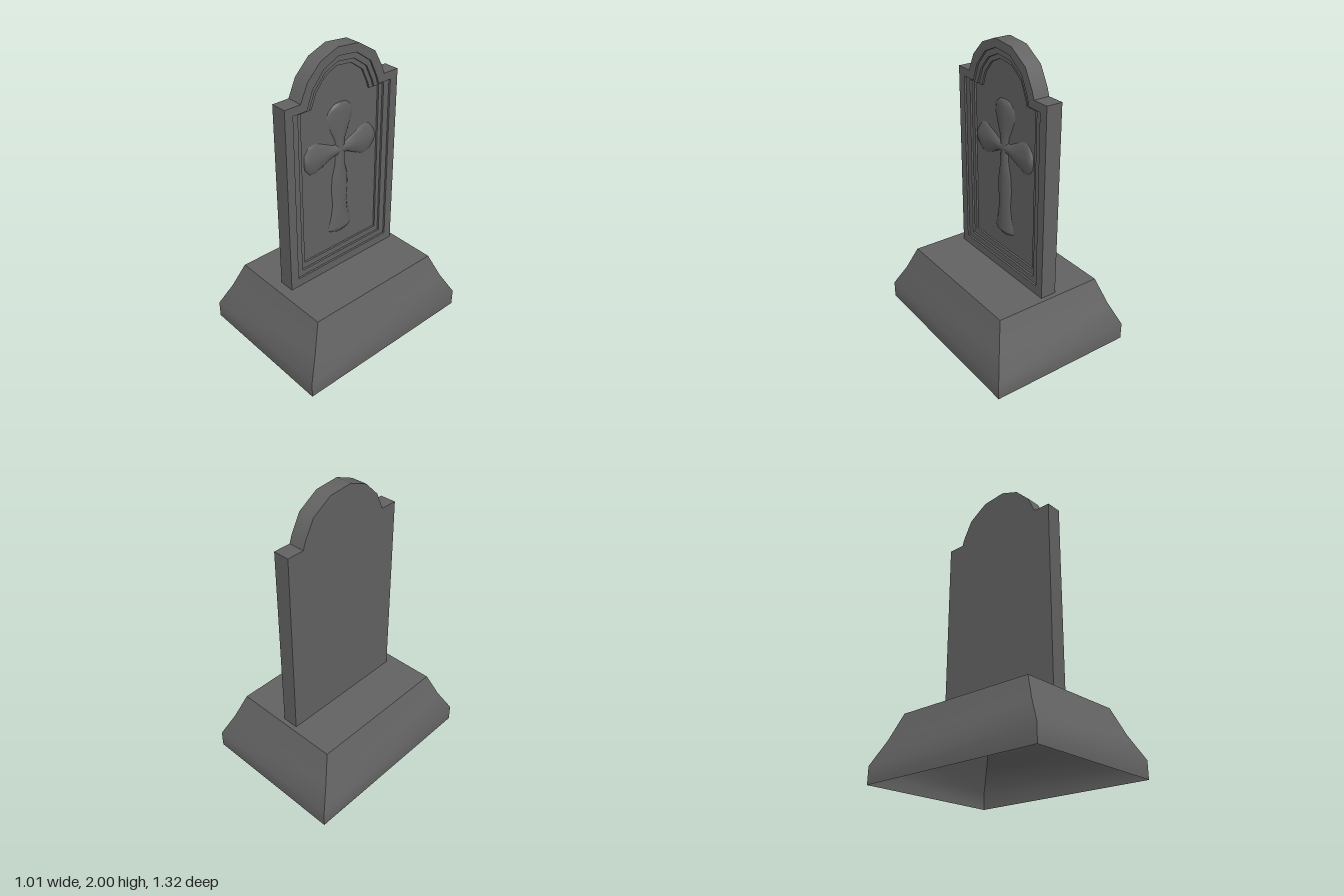
import * as THREE from 'three';
import { toCreasedNormals } from 'three/addons/utils/BufferGeometryUtils.js';

const stone = new THREE.MeshStandardMaterial({ color: 0x636363, side: THREE.DoubleSide });
stone.name = 'dark stone';

function addMesh(parent, name, geometry) {
  const mesh = new THREE.Mesh(geometry, stone);
  mesh.name = name;
  parent.add(mesh);
  return mesh;
}

// Joins rows of points (all the same length) into a surface
function loft(rows) {
  const n = rows[0].length, index = [];
  for (let i = 0; i < rows.length - 1; i++) {
    for (let j = 0; j < n - 1; j++) {
      const a = i * n + j, b = a + 1, c = a + n, d = c + 1;
      index.push(a, b, d, a, d, c);
    }
  }
  const geo = new THREE.BufferGeometry();
  geo.setAttribute('position', new THREE.Float32BufferAttribute(rows.flat(2), 3));
  geo.setIndex(index);
  geo.computeVertexNormals();
  return geo;
}

// Rounded top: across -1..1, up 0..1
const ARCH = [[-1, 0], [-0.84, 0.44], [-0.54, 0.81], [-0.15, 1], [0.345, 0.945],
  [0.75, 0.63], [0.945, 0.19], [1, 0]];
const MID = 0.02;

// Shouldered headstone outline
function outline(half, bottom, shoulder, archHalf, archHeight) {
  const pts = [[MID - half, bottom], [MID - half, shoulder],
    ...ARCH.map(([u, v]) => [MID + u * archHalf, shoulder + v * archHeight]),
    [MID + half, shoulder], [MID + half, bottom]];
  return pts.map(([x, y]) => new THREE.Vector2(x, y));
}

function slabLayer(hole, from, to) {
  const shape = new THREE.Shape(outline(0.45, 0.44, 1.73, 0.333, 0.27));
  if (hole) shape.holes.push(new THREE.Path(outline(...hole)));
  const geo = new THREE.ExtrudeGeometry(shape, { depth: to - from, bevelEnabled: false });
  geo.translate(0, 0, from);
  return toCreasedNormals(geo, 0.7);
}

export function createModel() {
  const model = new THREE.Group();
  model.name = 'gravestone';

  // Hollow plinth, open underneath: [y, half x, half z]
  const plinth = new THREE.Group();
  plinth.name = 'plinth';
  model.add(plinth);
  const profile = [[0, 0.505, 0.66], [0.115, 0.505, 0.66], [0.27, 0.44, 0.575], [0.44, 0.382, 0.502]];
  const corners = [[-1, 1], [1, 1], [1, -1], [-1, -1]];
  corners.forEach(([ax, az], i) => {
    const [bx, bz] = corners[(i + 1) % 4];
    addMesh(plinth, 'plinthSide' + (i + 1), loft(profile.map(([y, x, z]) =>
      [[ax * x, y, az * z], [bx * x, y, bz * z]])));
  });
  const [y, x, z] = profile[3];
  addMesh(plinth, 'plinthTop', loft([[[-x, y, z], [x, y, z]], [[-x, y, -z], [x, y, -z]]]));

  // Headstone, drawn facing +z then turned so the carving faces +x
  const headstone = new THREE.Group();
  headstone.name = 'headstone';
  headstone.rotation.y = Math.PI / 2;
  model.add(headstone);
  addMesh(headstone, 'backSlab', slabLayer(null, -0.07, 0));

  // Stepped frame around the recessed panel
  const steps = [
    [0.315, 0.58, 1.655, 0.232, 0.22],
    [0.345, 0.54, 1.662, 0.26, 0.243],
    [0.39, 0.5, 1.675, 0.288, 0.27],
  ];
  steps.forEach((hole, i) =>
    addMesh(headstone, 'frameStep' + (i + 1), slabLayer(hole, i * 0.0133, (i + 1) * 0.0133)));

  // Low relief cross with flared arms: [distance from centre, half width]
  const cross = new THREE.Group();
  cross.name = 'cross';
  cross.position.set(MID, 1.31, 0);
  headstone.add(cross);
  const shortArm = [[0, 0.035], [0.06, 0.04], [0.13, 0.075], [0.2, 0.105], [0.25, 0.095], [0.285, 0.05], [0.29, 0.01]];
  const topArm = shortArm.map(([d, w]) => [d * 1.1, w]);
  const foot = [[0, 0.035], [0.1, 0.04], [0.2, 0.065], [0.3, 0.07], [0.4, 0.06], [0.5, 0.075], [0.58, 0.1], [0.6, 0.085], [0.625, 0.02]];
  const section = [[-1, 0], [-0.8, 0.012], [-0.2, 0.02], [0.2, 0.02], [0.8, 0.012], [1, 0]];
  [['topArm', topArm, 0], ['leftArm', shortArm, 1], ['foot', foot, 2], ['rightArm', shortArm, 3]]
    .forEach(([name, stations, turn]) => {
      const last = stations.length - 1;
      const rows = stations.map(([d, w], i) =>
        section.map(([u, h]) => [u * w, d, i === last ? 0 : h]));
      addMesh(cross, name, loft(rows)).rotation.z = turn * Math.PI / 2;
    });

  return model;
}
